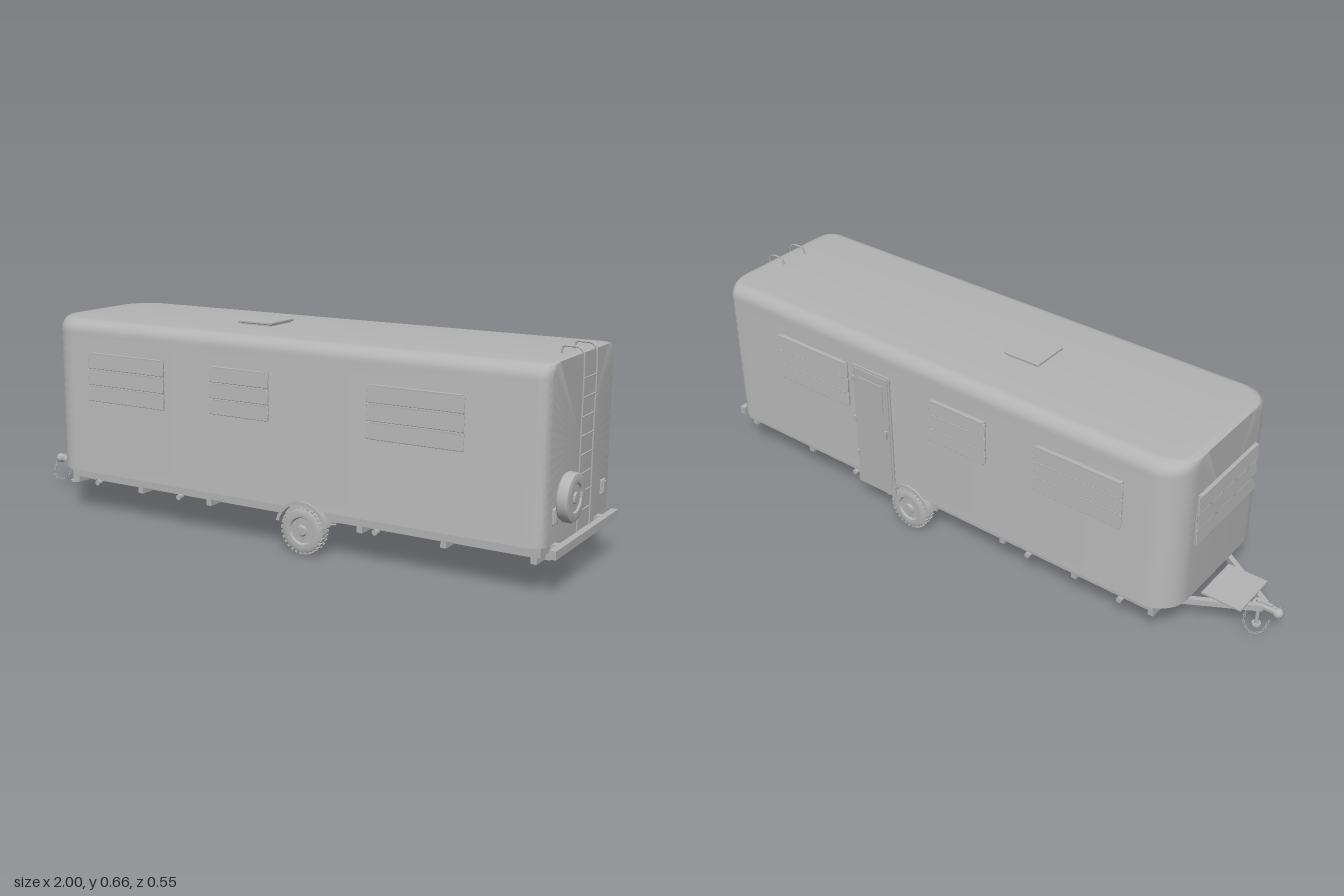
import * as THREE from 'three';
import { toCreasedNormals } from 'three/addons/utils/BufferGeometryUtils.js';
import { RoundedBoxGeometry } from 'three/addons/geometries/RoundedBoxGeometry.js';

const grey = new THREE.MeshStandardMaterial({ color: 0xb3b3b3 });
grey.name = 'plain grey';

const V = (x, y, z) => new THREE.Vector3(x, y, z);

function add(parent, name, geometry, x = 0, y = 0, z = 0) {
  const mesh = new THREE.Mesh(geometry, grey);
  mesh.name = name;
  mesh.position.set(x, y, z);
  parent.add(mesh);
  return mesh;
}

// box given by its extents
function block(parent, name, x0, x1, y0, y1, z0, z1) {
  return add(parent, name, new THREE.BoxGeometry(x1 - x0, y1 - y0, z1 - z0),
    (x0 + x1) / 2, (y0 + y1) / 2, (z0 + z1) / 2);
}

function tube(parent, name, points, r, segments = 24) {
  const curve = points.length === 2 ? new THREE.LineCurve3(...points) : new THREE.CatmullRomCurve3(points);
  return add(parent, name, new THREE.TubeGeometry(curve, segments, r, 8));
}

// rectangular beam between two points
function beam(parent, name, a, b, w, h) {
  const mesh = add(parent, name, new THREE.BoxGeometry(w, h, a.distanceTo(b)));
  mesh.position.copy(a).add(b).multiplyScalar(0.5);
  mesh.lookAt(b);
  return mesh;
}

// half cross-section: lapped planks, then a rounded roof edge, as [z, y]
function halfSection(w) {
  const pts = [], bottom = 0.14, eaves = 0.59, planks = 15, r = 0.045;
  for (let i = 0; i < planks; i++) {
    pts.push([w, bottom + (eaves - bottom) * i / planks]);
    pts.push([w - 0.004, bottom + (eaves - bottom) * (i + 1) / planks]);
  }
  for (let i = 0; i <= 8; i++) {
    const a = i / 8 * Math.PI / 2;
    pts.push([w - r + r * Math.cos(a), eaves + r * Math.sin(a)]);
  }
  return pts;
}

// shell lofted along x, with rounded corners in plan
function shellGeometry() {
  const stations = [], w = 0.259, n = 9;
  const corner = (x, r, dir) => {
    for (let i = 0; i <= n; i++) {
      const a = i / n * Math.PI / 2;
      stations.push([x + dir * r * Math.cos(a), w - r + r * Math.sin(a)]);
    }
  };
  corner(-0.68, 0.095, -1);
  const rear = stations.length;
  corner(0.902, 0.038, 1);
  stations.push(...stations.splice(rear).reverse());

  const pos = [], index = [];
  let m = 0;
  for (const [x, hw] of stations) {
    const half = halfSection(hw);
    const loop = [...half, ...half.slice().reverse().map(([z, y]) => [-z, y])];
    m = loop.length;
    for (const [z, y] of loop) pos.push(x, y, z);
  }
  const last = stations.length - 1;
  for (let i = 0; i < last; i++) for (let j = 0; j < m; j++) {
    const k = (j + 1) % m, a = i * m + j, b = a + m, c = (i + 1) * m + k, d = i * m + k;
    index.push(a, b, c, a, c, d);
  }
  const centre = pos.length / 3;
  pos.push(stations[0][0], 0.38, 0, stations[last][0], 0.38, 0);
  for (let j = 0; j < m; j++) {
    const k = (j + 1) % m;
    index.push(centre, j, k, centre + 1, last * m + k, last * m + j);
  }
  const g = new THREE.BufferGeometry();
  g.setAttribute('position', new THREE.Float32BufferAttribute(pos, 3));
  g.setIndex(index);
  return toCreasedNormals(g, 0.5);
}

// louvred window facing +z: frame and three tilted panes
function louvredWindow(parent, name, w, h) {
  const g = new THREE.Group();
  g.name = name;
  add(g, 'windowFrame', new THREE.BoxGeometry(w - 0.012, h, 0.012));
  for (let i = 0; i < 3; i++) {
    const pane = add(g, 'windowPane', new RoundedBoxGeometry(w, h / 3 - 0.005, 0.004, 2, 0.0018),
      0, h / 2 - (i + 0.5) * h / 3, 0.009);
    pane.rotation.x = -0.1;
    add(g, 'paneBar', new THREE.BoxGeometry(w - 0.02, 0.004, 0.006), 0, h / 2 - i * h / 3 - 0.002, 0.009);
  }
  parent.add(g);
  return g;
}

// wheel with its axis on y, hub facing +y
function wheel(parent, name, r, half, tread) {
  const g = new THREE.Group();
  g.name = name;
  const profile = [[0, -half * 0.6], [r * 0.5, -half * 0.6], [r * 0.6, -half * 0.9], [r * 0.8, -half],
    [r * 0.95, -half * 0.8], [r, -half * 0.5], [r, half * 0.5], [r * 0.95, half * 0.8], [r * 0.8, half],
    [r * 0.6, half * 0.9], [r * 0.55, half * 0.65], [r * 0.25, half * 0.7], [r * 0.2, half * 0.95], [0, half]];
  const lathe = new THREE.LatheGeometry(profile.map(p => new THREE.Vector2(...p)), 40);
  add(g, 'tyre', toCreasedNormals(lathe, 0.6));
  for (let i = 0; tread && i < 28; i++) {
    const a = i / 28 * Math.PI * 2;
    for (const s of [-1, 1]) {
      const t = a + s * 0.05;
      const lug = add(g, 'treadLug', new THREE.BoxGeometry(0.006, half * 0.75, 0.009),
        Math.cos(t) * r, s * half * 0.45, Math.sin(t) * r);
      lug.rotation.y = -t;
    }
  }
  parent.add(g);
  return g;
}

export function createModel() {
  const model = new THREE.Group();
  model.name = 'travelTrailer';
  add(model, 'bodyShell', shellGeometry());

  // windows on both sides and the nose
  for (const [x0, x1, y0] of [[-0.605, -0.305, 0.378], [-0.13, 0.08, 0.388], [0.41, 0.71, 0.378]]) {
    for (const s of [1, -1]) {
      const win = louvredWindow(model, 'sideWindow', x1 - x0, 0.535 - y0);
      win.position.set((x0 + x1) / 2, (y0 + 0.535) / 2, s * 0.26);
      if (s < 0) win.rotation.y = Math.PI;
    }
  }
  const nose = louvredWindow(model, 'noseWindow', 0.33, 0.168);
  nose.position.set(-0.775, 0.424, 0);
  nose.rotation.y = -Math.PI / 2;

  // door with frame, slot window, handle, hinges and sill
  const door = new THREE.Group();
  door.name = 'door';
  model.add(door);
  block(door, 'doorFrame', 0.243, 0.393, 0.115, 0.54, -0.262, -0.25);
  block(door, 'doorPanel', 0.25, 0.386, 0.135, 0.533, -0.265, -0.25);
  block(door, 'doorWindow', 0.27, 0.366, 0.4, 0.505, -0.268, -0.26);
  block(door, 'doorHandle', 0.258, 0.266, 0.315, 0.345, -0.273, -0.262);
  for (const y of [0.2, 0.33, 0.48]) block(door, 'hinge', 0.385, 0.396, y, y + 0.02, -0.268, -0.26);
  block(door, 'doorSill', 0.24, 0.396, 0.097, 0.133, -0.263, -0.24);

  // roof vent
  add(model, 'ventBase', new THREE.BoxGeometry(0.11, 0.012, 0.115), -0.105, 0.637, 0);
  add(model, 'ventLid', new RoundedBoxGeometry(0.125, 0.009, 0.127, 2, 0.003), -0.105, 0.644, 0);

  // rear ladder
  const ladder = new THREE.Group();
  ladder.name = 'rearLadder';
  model.add(ladder);
  for (const z of [0.05, -0.047]) {
    tube(ladder, 'ladderRail', [V(0.955, 0.14, z), V(0.955, 0.4, z), V(0.955, 0.62, z), V(0.952, 0.643, z),
      V(0.938, 0.655, z), V(0.915, 0.656, z), V(0.895, 0.655, z), V(0.89, 0.633, z)], 0.003, 60);
  }
  for (let i = 0; i < 8; i++) {
    const y = 0.195 + i * 0.0536;
    tube(ladder, 'ladderRung', [V(0.955, y, -0.047), V(0.955, y, 0.05)], 0.0025, 1);
  }

  // spare wheel, tail lamps and bumper
  const spare = wheel(model, 'spareWheel', 0.069, 0.019, false);
  spare.position.set(0.976, 0.27, 0.163);
  spare.rotation.z = -Math.PI / 2;
  for (const z of [-0.181, 0.183]) {
    add(model, 'tailLampBase', new RoundedBoxGeometry(0.01, 0.045, 0.03, 2, 0.003), 0.942, 0.217, z);
    add(model, 'tailLamp', new RoundedBoxGeometry(0.008, 0.036, 0.021, 2, 0.003), 0.946, 0.217, z);
  }
  block(model, 'bumper', 0.953, 0.973, 0.114, 0.139, -0.24, 0.242);
  for (const z of [-0.165, 0.165]) block(model, 'bumperBracket', 0.91, 0.955, 0.115, 0.135, z - 0.012, z + 0.012);

  // floor and chassis
  block(model, 'floor', -0.71, 0.93, 0.113, 0.142, -0.242, 0.242);
  for (const s of [1, -1]) {
    block(model, 'chassisRail', -0.715, 0.93, 0.088, 0.114, s * 0.165 - 0.01, s * 0.165 + 0.01);
    for (const x of [-0.6, -0.27, 0.43]) {
      const lamp = add(model, 'markerLamp', new THREE.CylinderGeometry(0.009, 0.009, 0.016, 16), x, 0.104, s * 0.242);
      lamp.rotation.x = Math.PI / 2;
    }
  }
  for (let i = 0; i < 7; i++) {
    const x = -0.7 + i * 0.268;
    block(model, 'crossMember', x - 0.009, x + 0.009, 0.09, 0.114, -0.235, 0.235);
  }

  // axle, springs, wheels and wheel arches
  tube(model, 'axle', [V(0.19, 0.071, -0.245), V(0.19, 0.071, 0.245)], 0.007, 1);
  for (const s of [1, -1]) {
    const w = wheel(model, 'roadWheel', 0.069, 0.022, true);
    w.position.set(0.19, 0.072, s * 0.24);
    w.rotation.x = s * Math.PI / 2;
    for (let i = 0; i < 3; i++) {
      const l = 0.12 - i * 0.03, y = 0.076 - i * 0.004;
      tube(model, 'leafSpring', [V(0.19 - l, y + 0.028 * (l / 0.12) ** 2, s * 0.157), V(0.19, y, s * 0.157),
        V(0.19 + l, y + 0.028 * (l / 0.12) ** 2, s * 0.157)], 0.003, 16);
    }
    block(model, 'springClamp', 0.178, 0.202, 0.06, 0.08, s * 0.157 - 0.005, s * 0.157 + 0.005);
    const arch = new THREE.Shape();
    arch.absarc(0, 0, 0.09, 0.25, Math.PI - 0.25, false);
    arch.absarc(0, 0, 0.08, Math.PI - 0.25, 0.25, true);
    add(model, 'wheelArch', new THREE.ExtrudeGeometry(arch, { depth: 0.025, bevelEnabled: false, curveSegments: 24 }),
      0.19, 0.072, s > 0 ? 0.238 : -0.263);
  }

  // drawbar, coupler, tray and jack
  const hitch = new THREE.Group();
  hitch.name = 'hitch';
  model.add(hitch);
  for (const s of [1, -1]) {
    beam(hitch, 'drawbar', V(-0.68, 0.1, s * 0.165), V(-0.94, 0.09, s * 0.008), 0.016, 0.02);
    // safety chain of alternating links
    const path = new THREE.CatmullRomCurve3([V(-0.9, 0.085, s * 0.03), V(-0.905, 0.045, s * 0.05),
      V(-0.935, 0.028, s * 0.06), V(-0.965, 0.045, s * 0.055), V(-0.975, 0.075, s * 0.035)]);
    for (let i = 0; i <= 18; i++) {
      const link = add(hitch, 'chainLink', new THREE.TorusGeometry(0.0038, 0.001, 5, 10));
      link.position.copy(path.getPointAt(i / 18));
      link.lookAt(link.position.clone().add(path.getTangentAt(i / 18)));
      link.rotateY(Math.PI / 2);
      if (i % 2) link.rotateX(Math.PI / 2);
    }
  }
  block(hitch, 'tray', -0.905, -0.775, 0.104, 0.11, -0.08, 0.08);
  add(hitch, 'coupler', new RoundedBoxGeometry(0.085, 0.018, 0.024, 3, 0.006), -0.945, 0.09, 0);
  add(hitch, 'couplerSocket', new THREE.SphereGeometry(0.016, 20, 14), -0.984, 0.086, 0);
  block(hitch, 'couplerLever', -0.965, -0.915, 0.1, 0.105, -0.005, 0.005);
  add(hitch, 'jackPost', new THREE.CylinderGeometry(0.006, 0.006, 0.08, 16), -0.922, 0.053, 0);
  add(hitch, 'jackSleeve', new THREE.CylinderGeometry(0.009, 0.009, 0.035, 16), -0.922, 0.088, 0);
  add(hitch, 'jackFoot', new THREE.CylinderGeometry(0.014, 0.014, 0.007, 20), -0.922, 0.012, 0);
  return model;
}
